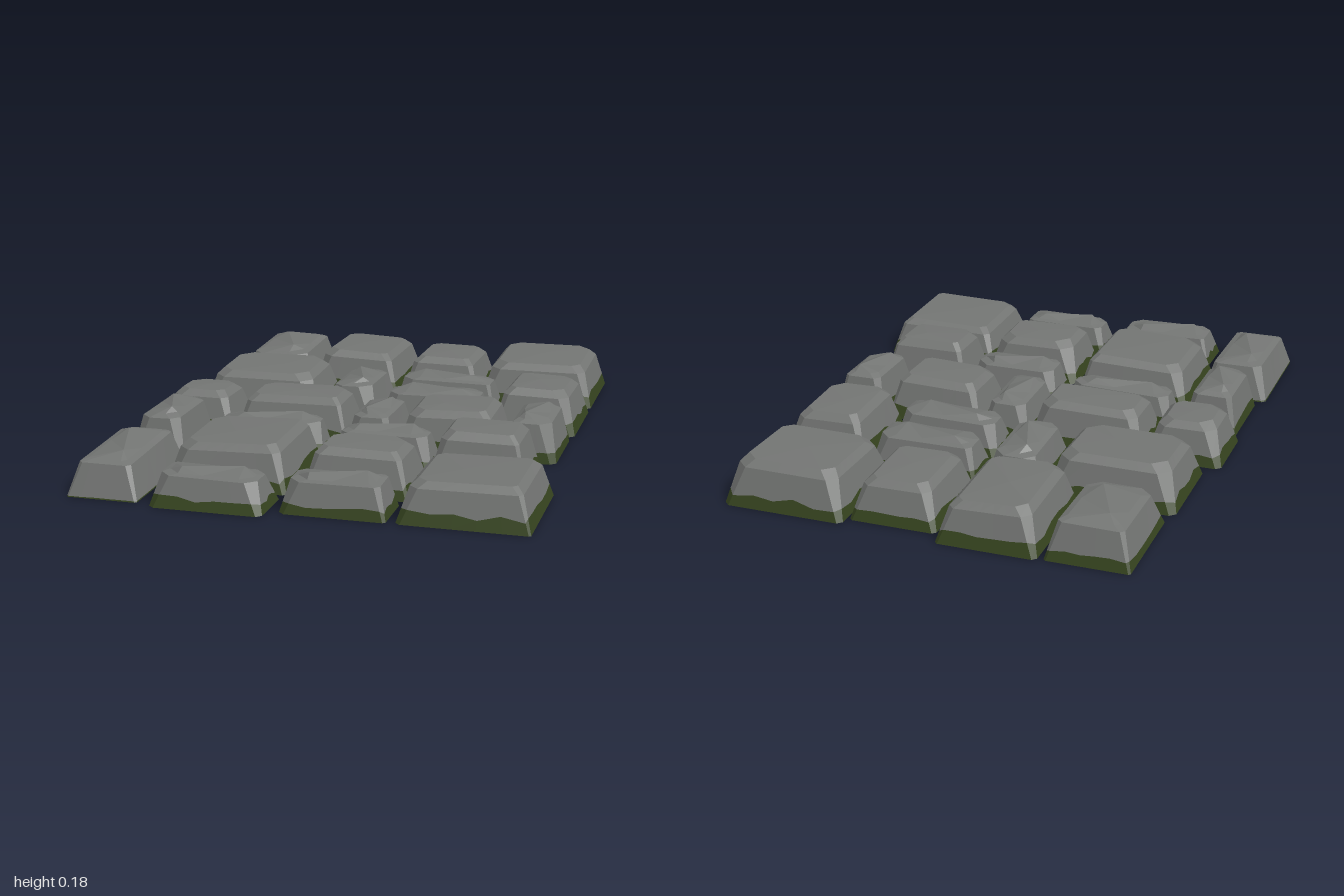
import * as THREE from 'three';

// Broad flat-topped stones: x0, x1, z0, z1, height
const BROAD = [
  [-0.39, -0.04, -1.00, -0.55, 0.155],
  [-0.02, 0.29, -0.94, -0.57, 0.15],
  [0.30, 0.74, -0.98, -0.55, 0.16],
  [-0.72, -0.26, -0.55, -0.17, 0.155],
  [0.43, 0.74, -0.52, -0.15, 0.16],
  [-0.77, -0.49, -0.14, 0.14, 0.15],
  [-0.48, -0.05, -0.14, 0.14, 0.155],
  [0.15, 0.52, -0.11, 0.20, 0.16],
  [0.34, 0.68, 0.22, 0.50, 0.175],
  [-0.51, -0.08, 0.34, 0.77, 0.155],
  [-0.04, 0.33, 0.43, 0.73, 0.155],
  [0.34, 0.78, 0.52, 0.95, 0.14],
];

// Narrow stones with a diagonal ridge on top
const RIDGED = [
  [-0.70, -0.41, -0.99, -0.58, 0.15],
  [-0.23, -0.03, -0.54, -0.18, 0.14],
  [0.00, 0.40, -0.54, -0.35, 0.14],
  [0.00, 0.40, -0.33, -0.14, 0.14],
  [-0.04, 0.14, -0.12, 0.21, 0.14],
  [0.54, 0.73, -0.11, 0.20, 0.165],
  [-0.75, -0.55, 0.15, 0.49, 0.17],
  [-0.50, -0.09, 0.16, 0.32, 0.13],
  [-0.03, 0.33, 0.22, 0.41, 0.14],
  [-0.48, -0.09, 0.79, 1.00, 0.125],
  [-0.05, 0.31, 0.76, 0.95, 0.13],
];

// Front corner stone, nearly free of moss
const BARE = [-0.78, -0.53, 0.51, 0.97, 0.145];

let seed = 7;
function rand(lo, hi) {
  seed = (seed * 16807) % 2147483647;
  return lo + (hi - lo) * (seed / 2147483647);
}

// Rectangle with cut corners, each side split so the moss line can waver
function outline(hw, hd, [a, b, c, d], y) {
  const corners = [
    [hw, -hd + a], [hw, hd - b], [hw - b, hd], [-hw + c, hd],
    [-hw, hd - c], [-hw, -hd + d], [-hw + d, -hd], [hw - a, -hd],
  ];
  const pts = [];
  corners.forEach(([x, z], i) => {
    const [x2, z2] = corners[(i + 1) % 8];
    const n = i % 2 ? 1 : 5;
    for (let k = 0; k < n; k++) {
      const px = x + (x2 - x) * k / n, pz = z + (z2 - z) * k / n;
      pts.push(new THREE.Vector3(px, y(px, pz), pz));
    }
  });
  return pts;
}

function makeStone([x0, x1, z0, z1, h], ridged, moss, materials) {
  const hw = (x1 - x0) / 2, hd = (z1 - z0) / 2;
  const tiltX = rand(-0.03, 0.03), tiltZ = rand(-0.03, 0.03);
  const cuts = [0, 0, 0, 0].map(() => rand(0.012, 0.045));
  const grow = (f) => cuts.map((c) => c * f);
  const slope = (x, z) => x * tiltX + z * tiltZ;
  const rise = ridged ? 0.018 : 0.004;
  const inset = Math.min(0.034, Math.min(hw, hd) * 0.28);

  // Foot, shoulder and crown cross-sections
  const foot = outline(hw, hd, grow(0.5), () => 0);
  const shoulder = outline(hw - inset, hd - inset, cuts, (x, z) => h * 0.82 + slope(x, z));
  const crown = outline(hw - inset * 1.7, hd - inset * 1.7, grow(1.1),
    (x, z) => h - rise + slope(x, z) * 1.3);
  const mossLine = foot.map((p, i) => p.clone().lerp(shoulder[i],
    moss / (h * 0.82) * rand(0.75, 1.25)));

  // Crown apexes: a diagonal ridge, or one off-centre point
  const long = hw > hd;
  const lean = z0 < -0.13 || x0 < -0.52 ? 1 : -1;
  const apex = (s) => {
    const u = s * 0.5, v = 0.3 * s * lean;
    const x = hw * (long ? u : v), z = hd * (long ? v : u);
    return new THREE.Vector3(x, h + slope(x, z), z);
  };
  const ends = ridged ? [apex(-1), apex(1)] : [apex(rand(-0.5, 0.5))];
  const apexOf = (p) => (ridged && (long ? p.x : p.z) > 0 ? ends[1] : ends[0]);

  const verts = [];
  const tri = (...pts) => pts.forEach((p) => verts.push(p.x, p.y, p.z));
  const n = foot.length;
  const band = (lo, hi) => {
    for (let i = 0; i < n; i++) {
      const j = (i + 1) % n;
      tri(lo[i], hi[i], lo[j]);
      tri(lo[j], hi[i], hi[j]);
    }
  };

  // Mossy foot and underside
  band(foot, mossLine);
  const base = new THREE.Vector3();
  for (let i = 0; i < n; i++) tri(base, foot[i], foot[(i + 1) % n]);
  const mossCount = verts.length / 3;

  // Bare rock sides, bevel and top
  band(mossLine, shoulder);
  band(shoulder, crown);
  for (let i = 0; i < n; i++) {
    const p = crown[i], q = crown[(i + 1) % n];
    const a = apexOf(p), b = apexOf(q);
    tri(p, a, q);
    if (a !== b) tri(q, a, b);
  }

  const geo = new THREE.BufferGeometry();
  geo.setAttribute('position', new THREE.Float32BufferAttribute(verts, 3));
  geo.addGroup(0, mossCount, 0);
  geo.addGroup(mossCount, verts.length / 3 - mossCount, 1);
  geo.computeVertexNormals();
  const mesh = new THREE.Mesh(geo, materials);
  mesh.position.set((x0 + x1) / 2, 0, (z0 + z1) / 2);
  return mesh;
}

export function createModel() {
  seed = 7;
  const moss = new THREE.MeshStandardMaterial({ color: 0x36441f });
  moss.name = 'moss green';
  const rock = new THREE.MeshStandardMaterial({ color: 0x737573 });
  rock.name = 'stone grey';

  const model = new THREE.Group();
  model.name = 'stonePaving';
  const lay = (name, spec, ridged, mossHeight) => {
    const stone = makeStone(spec, ridged, mossHeight, [moss, rock]);
    stone.name = name;
    model.add(stone);
  };
  BROAD.forEach((s, i) => lay(`broadStone${i + 1}`, s, false, 0.042));
  RIDGED.forEach((s, i) => lay(`ridgedStone${i + 1}`, s, true, 0.034));
  lay('bareCornerStone', BARE, true, 0.004);
  return model;
}
